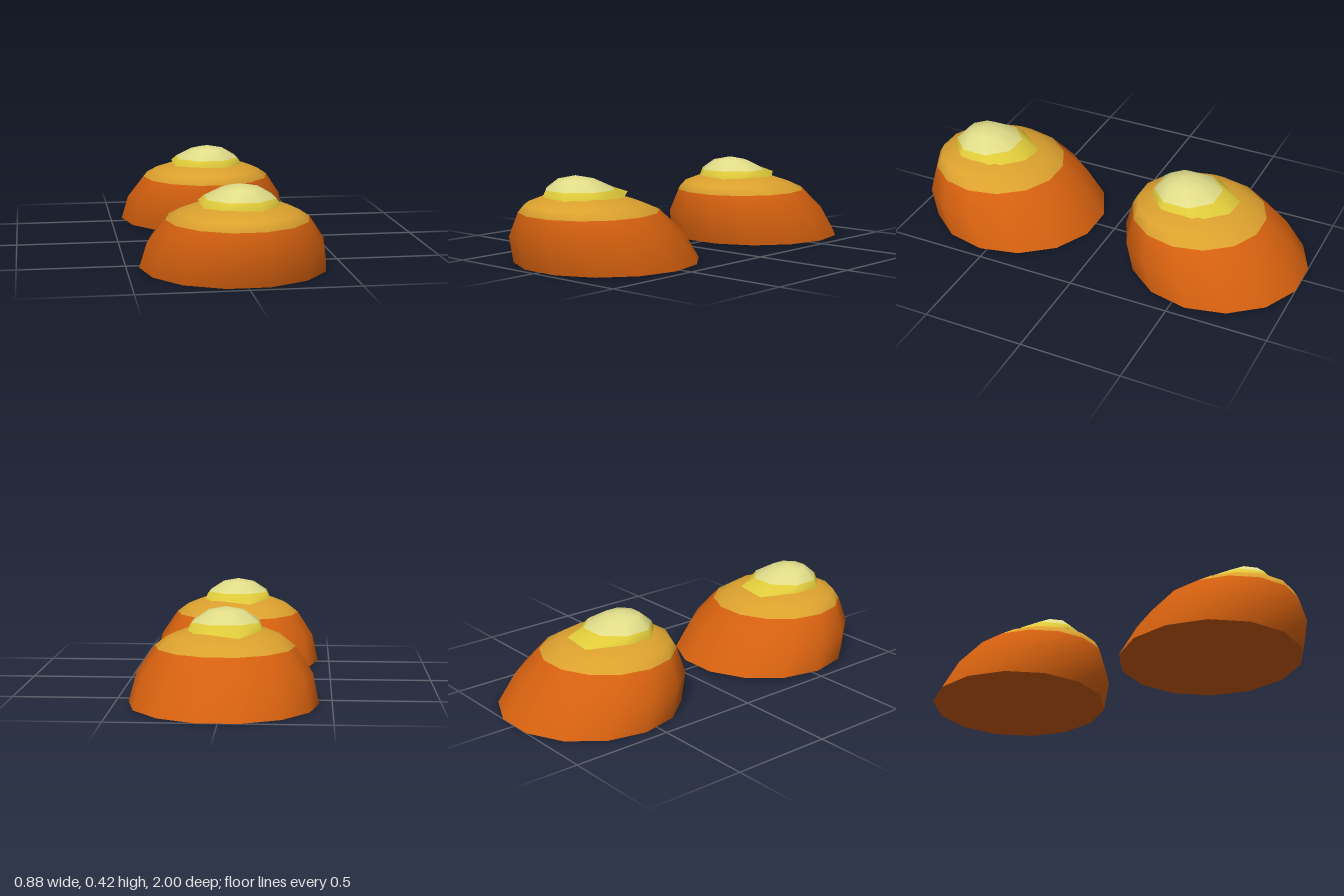
import * as THREE from 'three';

const mat = (name, color, side = THREE.FrontSide) => {
  const m = new THREE.MeshStandardMaterial({ color, side });
  m.name = name;
  return m;
};

// Smooth skin through rings of points; layers = [number of bands] per material, closed by an apex
function loft(rings, sides, apex, layers) {
  const pos = [], index = [];
  rings.forEach((ring) => {
    for (let i = 0; i < sides; i++) {
      pos.push(...ring(((i + 0.5) / sides) * Math.PI * 2, i));
    }
  });
  pos.push(...apex);
  const geo = new THREE.BufferGeometry();
  for (let j = 0; j < rings.length; j++) {
    for (let i = 0; i < sides; i++) {
      const a = j * sides + i, b = j * sides + ((i + 1) % sides);
      if (j === rings.length - 1) index.push(a, b, rings.length * sides);
      else index.push(a, b, b + sides, a, b + sides, a + sides);
    }
  }
  geo.setAttribute('position', new THREE.Float32BufferAttribute(pos, 3));
  geo.setIndex(index);
  geo.computeVertexNormals();
  const split = layers * sides * 6;
  geo.addGroup(0, split, 0);
  geo.addGroup(split, index.length - split, 1);
  return geo;
}

// Round ring of radius r at height y, centred at z
const circle = (r, y, z) => (t) => [r * Math.sin(t), y, z + r * Math.cos(t)];

export function createModel() {
  const orange = mat('orange', 0xd4600f);
  const ochre = mat('ochre', 0xdca12e);
  const yellow = mat('yellow', 0xdfca3a, THREE.DoubleSide);
  const cream = mat('cream', 0xe0dc88);

  // Leaning mound body: orange sides, ochre top
  const bodyGeo = loft([
    circle(0.44, 0, 0.535),
    circle(0.41, 0.13, 0.6),
    circle(0.33, 0.247, 0.65),
    circle(0.275, 0.285, 0.685),
    circle(0.18, 0.32, 0.7),
  ], 14, [0, 0.325, 0.7], 2);

  // Wavy lip, drawn out towards the back
  const lip = (t, i) => {
    const z = Math.cos(t);
    return [0.19 * Math.sin(t), i % 2 ? 0.326 : 0.308, 0.71 + 0.19 * z * (z < 0 ? 1.38 : 0.93)];
  };
  // Cap: yellow skirt, cream dome
  const capGeo = loft([
    lip,
    circle(0.167, 0.355, 0.71),
    circle(0.088, 0.402, 0.735),
  ], 8, [0, 0.42, 0.735], 1);

  // Flat underside with the same corners as the body
  const baseGeo = new THREE.CircleGeometry(0.44, 14, Math.PI / 2 + Math.PI / 14);
  baseGeo.rotateX(Math.PI / 2).translate(0, 0, 0.535);

  const model = new THREE.Group();
  model.name = 'moundPair';
  [['frontMound', 0], ['backMound', -1.106]].forEach(([name, z]) => {
    const mound = new THREE.Group();
    mound.name = name;
    mound.position.z = z;
    const add = (part, geo, material) => {
      const mesh = new THREE.Mesh(geo, material);
      mesh.name = part;
      mound.add(mesh);
    };
    add('body', bodyGeo, [orange, ochre]);
    add('underside', baseGeo, orange);
    add('cap', capGeo, [yellow, cream]);
    model.add(mound);
  });
  return model;
}
